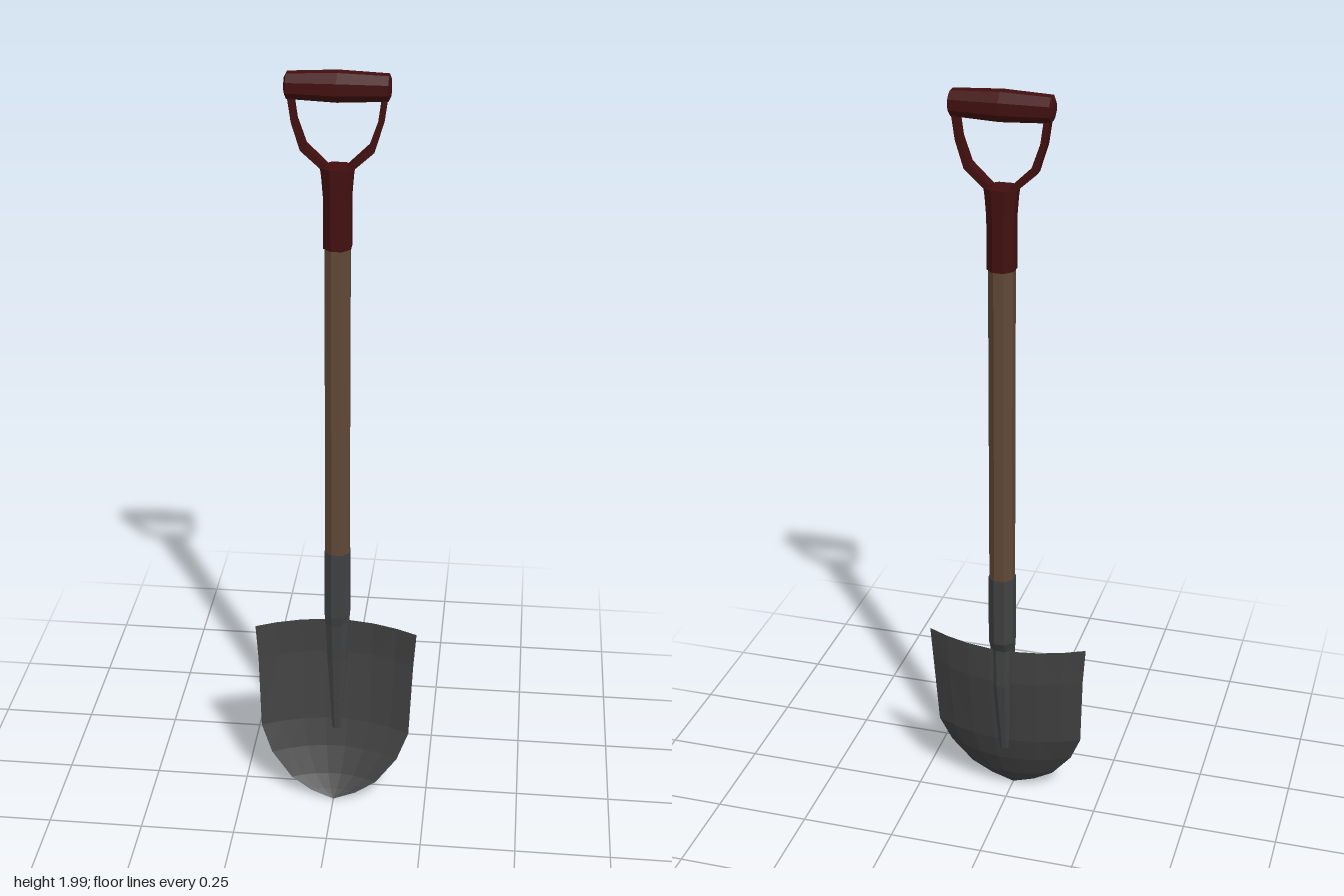
import * as THREE from 'three';

const AXIS_Z = -0.035; // depth of the shaft axis

const material = (name, color, side = THREE.FrontSide) => {
  const m = new THREE.MeshStandardMaterial({ color, side, flatShading: true });
  m.name = name;
  return m;
};

function buildGeometry(positions, indices) {
  const g = new THREE.BufferGeometry();
  g.setAttribute('position', new THREE.Float32BufferAttribute(positions, 3));
  g.setIndex(indices);
  g.computeVertexNormals();
  return g;
}

// Capped octagonal loft; sections run upwards as [y, centre z, x radius, z radius]
function loft(sections, sides = 8) {
  const pos = [], idx = [];
  const k = 1 / Math.cos(Math.PI / sides);
  for (const [y, cz, rx, rz] of sections) {
    for (let j = 0; j < sides; j++) {
      const a = ((j + 0.5) / sides) * Math.PI * 2;
      pos.push(rx * k * Math.cos(a), y, cz + rz * k * Math.sin(a));
    }
  }
  for (let i = 0; i < sections.length - 1; i++) {
    for (let j = 0; j < sides; j++) {
      const a = i * sides + j, b = i * sides + ((j + 1) % sides);
      idx.push(a, a + sides, b, b, a + sides, b + sides);
    }
  }
  const top = (sections.length - 1) * sides;
  for (let j = 1; j < sides - 1; j++) {
    idx.push(0, j, j + 1, top, top + j + 1, top + j);
  }
  return buildGeometry(pos, idx);
}

// Dished blade; rows are [y, half width, edge z, centre z]
function bladeGeometry() {
  const rows = [
    [0.51, 0.215, 0.012, -0.046], [0.41, 0.208, 0.015, -0.046],
    [0.21, 0.2, 0.035, -0.018], [0.135, 0.17, 0.052, 0.004],
    [0.065, 0.115, 0.065, 0.037], [0.03, 0.06, 0.072, 0.06],
    [0.008, 0, 0.076, 0.076],
  ];
  const cols = [-1, -0.75, -0.45, -0.15, 0.15, 0.45, 0.75, 1];
  const n = cols.length, pos = [], idx = [];
  for (const [y, w, edge, mid] of rows) {
    for (const u of cols) pos.push(u * w, y, mid + (edge - mid) * u * u);
  }
  for (let i = 0; i < rows.length - 1; i++) {
    for (let j = 0; j < n - 1; j++) {
      const a = i * n + j, c = a + n;
      idx.push(a, c, a + 1);
      if (i < rows.length - 2) idx.push(a + 1, c, c + 1);
    }
  }
  return buildGeometry(pos, idx);
}

export function createModel() {
  const group = new THREE.Group();
  group.name = 'shovel';
  const red = material('dark red handle', 0x420f0f);
  const wood = material('brown wood', 0x604836);
  const metal = material('dark steel', 0x404142);
  const sheet = material('blade steel', 0x404040, THREE.DoubleSide);

  const add = (name, geometry, mat) => {
    const mesh = new THREE.Mesh(geometry, mat);
    mesh.name = name;
    group.add(mesh);
    return mesh;
  };

  add('blade', bladeGeometry(), sheet);

  // Socket runs down into a tapering spine through the blade
  add('socket', loft([
    [0.185, -0.014, 0.012, 0.009],
    [0.4, -0.032, 0.026, 0.021],
    [0.51, -0.03, 0.031, 0.022],
    [0.54, AXIS_Z, 0.033, 0.033],
    [0.73, AXIS_Z, 0.033, 0.033],
  ]), metal);

  add('shaft', loft([
    [0.73, AXIS_Z, 0.031, 0.031],
    [1.57, AXIS_Z, 0.031, 0.031],
  ]), wood);

  add('collar', loft([
    [1.57, AXIS_Z, 0.034, 0.036],
    [1.7, AXIS_Z, 0.034, 0.036],
    [1.75, AXIS_Z, 0.038, 0.036],
    [1.772, AXIS_Z, 0.041, 0.036],
  ]), red);

  // Forked arms between collar and grip, mirrored
  const outer = [[0.03, 1.76], [0.088, 1.812], [0.109, 1.88], [0.119, 1.95]];
  const inner = [[0.105, 1.95], [0.096, 1.885], [0.075, 1.825], [0.024, 1.776]];
  for (const s of [1, -1]) {
    const shape = new THREE.Shape([...outer, ...inner].map(([x, y]) => new THREE.Vector2(s * x, y)));
    const arm = new THREE.ExtrudeGeometry(shape, { depth: 0.032, bevelEnabled: false });
    arm.translate(0, 0, AXIS_Z - 0.016);
    add(s > 0 ? 'leftArm' : 'rightArm', arm, red);
  }

  // Barrel-shaped crossbar grip
  const grip = loft([
    [-0.125, 0, 0.02, 0.02], [-0.12, 0, 0.03, 0.032],
    [0, 0, 0.035, 0.038],
    [0.12, 0, 0.03, 0.032], [0.125, 0, 0.02, 0.02],
  ]);
  grip.rotateZ(Math.PI / 2);
  grip.translate(0, 1.965, AXIS_Z);
  add('grip', grip, red);

  return group;
}
